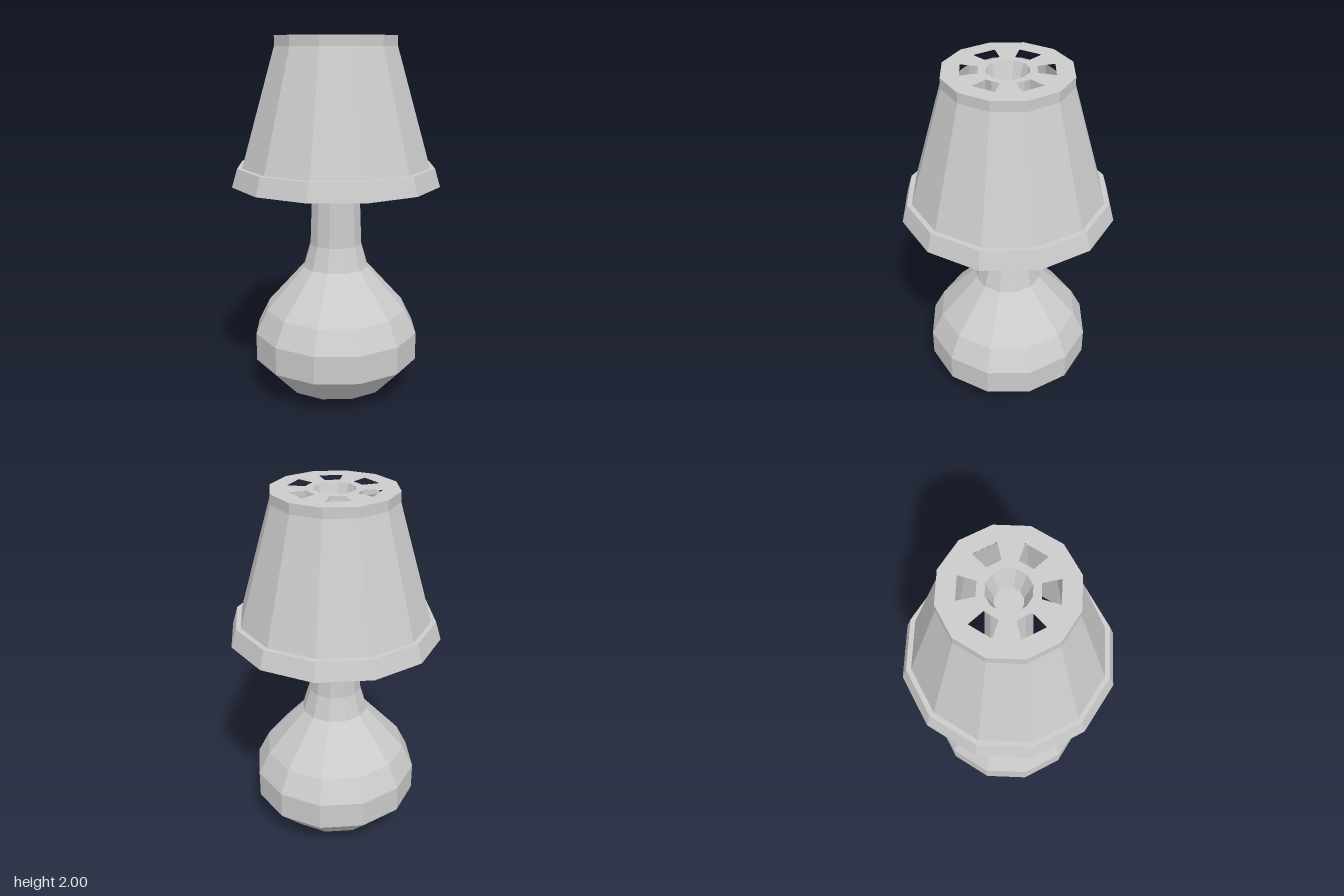
import * as THREE from 'three';

const SIDES = 12;
const material = new THREE.MeshStandardMaterial({ color: 0xcccccc, flatShading: true });

// Faceted solid of revolution from [radius, height] pairs
function lathe(name, profile) {
  const points = profile.map(([r, y]) => new THREE.Vector2(r, y));
  const mesh = new THREE.Mesh(new THREE.LatheGeometry(points, SIDES), material);
  mesh.name = name;
  return mesh;
}

// Point on a circle, counted in twelfths of a turn from +x towards +z
function polar(r, step) {
  const a = (step / SIDES) * Math.PI * 2;
  return new THREE.Vector2(r * Math.cos(a), -r * Math.sin(a));
}

const ring = (r) => Array.from({ length: SIDES }, (_, i) => polar(r, i));

export function createModel() {
  const lamp = new THREE.Group();
  lamp.name = 'tableLamp';

  // Bulbous base with a slim neck that rises to the cap and ends in a tapered recess
  lamp.add(lathe('baseAndNeck', [
    [0, 0], [0.155, 0], [0.31, 0.045], [0.465, 0.205], [0.465, 0.36], [0.4, 0.49],
    [0.185, 0.73], [0.147, 0.86], [0.135, 1.2], [0.11, 2], [0.07, 1.88], [0, 1.88],
  ]));

  // Hollow shade: inner wall down, thick lower rim, ledge, outer wall up
  lamp.add(lathe('shade', [
    [0.27, 1.945], [0.402, 1.205], [0.577, 1.205], [0.547, 1.305],
    [0.52, 1.305], [0.335, 1.945],
  ]));

  // Cap with a centre hole for the neck and six vents
  const shape = new THREE.Shape(ring(0.335));
  shape.holes.push(new THREE.Path(ring(0.11)));
  for (let i = 0; i < SIDES; i += 2) {
    shape.holes.push(new THREE.Path([
      polar(0.15, i), polar(0.242, i), polar(0.242, i + 1), polar(0.15, i + 1),
    ]));
  }
  const capGeometry = new THREE.ExtrudeGeometry(shape, { depth: 0.055, bevelEnabled: false });
  capGeometry.rotateX(-Math.PI / 2);
  const cap = new THREE.Mesh(capGeometry, material);
  cap.name = 'ventedCap';
  cap.position.y = 1.945;
  lamp.add(cap);

  return lamp;
}
